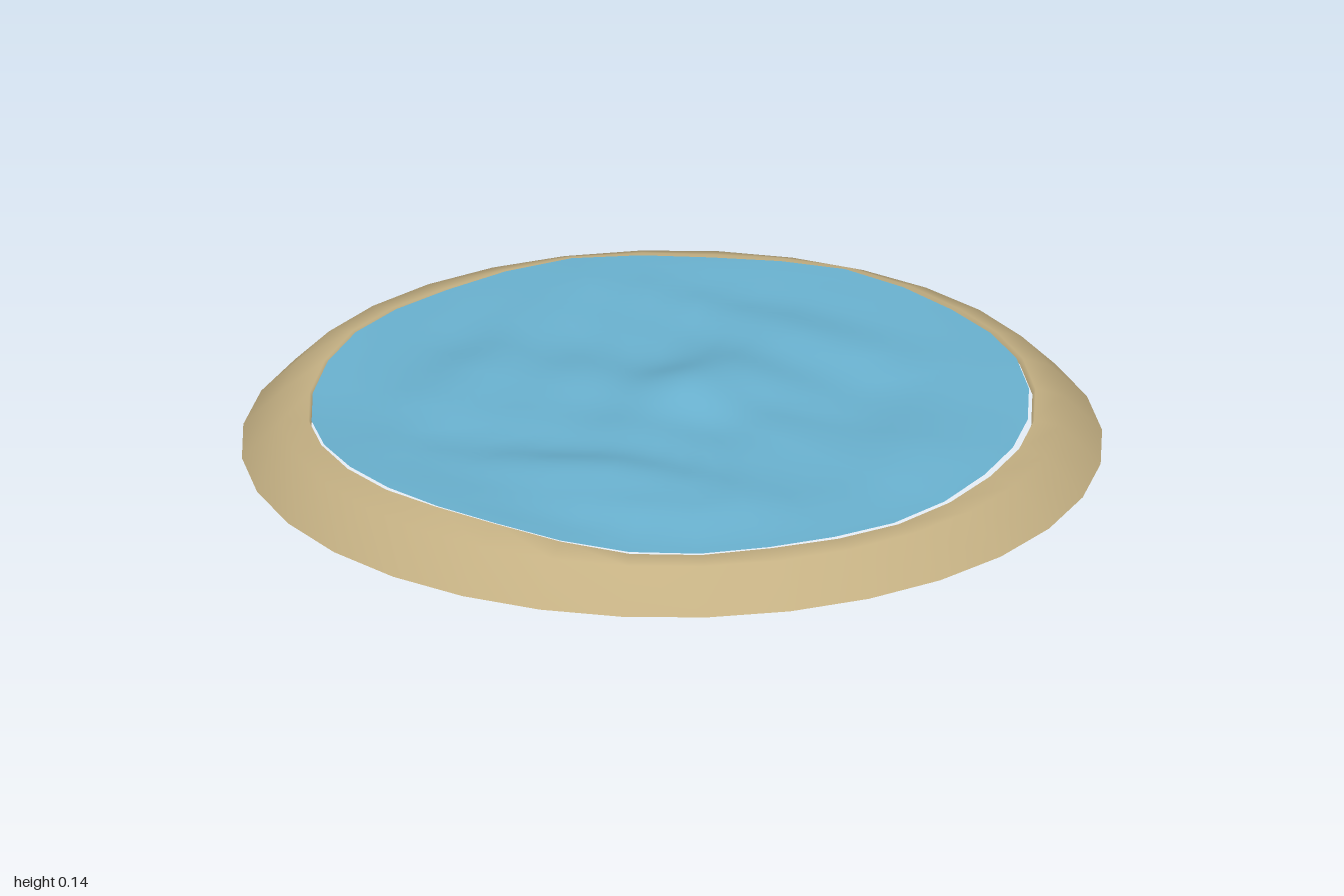
import * as THREE from 'three';
import { mergeVertices } from 'three/addons/utils/BufferGeometryUtils.js';

const SIDES = 32;

// Shore height every 45 degrees, starting at the front and turning towards +x
const SHORE = [0.09, 0.093, 0.11, 0.118, 0.113, 0.105, 0.09, 0.125];

function shoreHeight(x, z) {
  const t = ((Math.atan2(x, z) / (Math.PI * 2) + 1) % 1) * SHORE.length;
  const i = Math.floor(t);
  const f = t - i;
  const s = f * f * (3 - 2 * f);
  const ripple = 0.004 * Math.sin(t * Math.PI * 1.75 * 8 / 7);
  return THREE.MathUtils.lerp(SHORE[i % 8], SHORE[(i + 1) % 8], s) + ripple;
}

const bump = (x, z, cx, cz, r) => Math.exp(-((x - cx) ** 2 + (z - cz) ** 2) / (r * r));

// Gentle, irregular waves from a few warped sines plus two larger crests
function waveHeight(x, z) {
  const u = x + 0.06 * Math.sin(5 * z + 1);
  const v = z + 0.06 * Math.sin(6 * x + 2);
  return 0.106
    + 0.006 * Math.sin(9 * u + 4 * v)
    + 0.006 * Math.sin(11 * v - 5 * u + 1.3)
    + 0.003 * Math.sin(21 * u + 9 * v + 0.5)
    + 0.003 * Math.sin(23 * v - 14 * u + 2.1)
    + 0.022 * bump(x, z, -0.3, 0.4, 0.15)
    + 0.028 * bump(x, z, 0.1, -0.1, 0.14)
    - 0.012 * bump(x, z, 0.15, 0.1, 0.12);
}

// Apply a height rule to every vertex, then smooth the normals across seams
function shape(geometry, rule) {
  const p = geometry.attributes.position;
  for (let i = 0; i < p.count; i++) p.setY(i, rule(p.getX(i), p.getY(i), p.getZ(i)));
  geometry.deleteAttribute('uv');
  geometry.deleteAttribute('normal');
  const merged = mergeVertices(geometry, 1e-4);
  merged.computeVertexNormals();
  return merged;
}

function addMesh(group, name, geometry, color) {
  const material = new THREE.MeshStandardMaterial({ color, side: THREE.DoubleSide });
  const mesh = new THREE.Mesh(geometry, material);
  mesh.name = name;
  group.add(mesh);
}

export function createModel() {
  const group = new THREE.Group();
  group.name = 'pond';

  // Sandy bank: sloped outside, uneven top and a small lip turned down inside
  const profile = [[1, 0], [0.91, 0.09], [0.845, 0.1], [0.838, 0.085]]
    .map(([r, y]) => new THREE.Vector2(r, y));
  const bank = shape(new THREE.LatheGeometry(profile, SIDES), (x, y, z) => {
    const r = Math.hypot(x, z);
    if (r > 0.9) return y;
    return shoreHeight(x, z) + (r < 0.842 ? -0.015 : 0);
  });
  addMesh(group, 'bank', bank, 0xc4b083);

  // Water sheet: waves in the middle that settle to the shore height at the rim
  const disc = new THREE.RingGeometry(0, 0.834, SIDES, 30).rotateX(-Math.PI / 2);
  const water = shape(disc, (x, y, z) => {
    const blend = THREE.MathUtils.smoothstep(Math.hypot(x, z), 0.6, 0.834);
    const waves = waveHeight(x, z);
    const edge = shoreHeight(x, z) + 0.25 * (waves - 0.106);
    return THREE.MathUtils.lerp(waves, edge, blend);
  });
  water.translate(-0.004, 0, 0);
  addMesh(group, 'water', water, 0x6ab2d0);

  return group;
}
